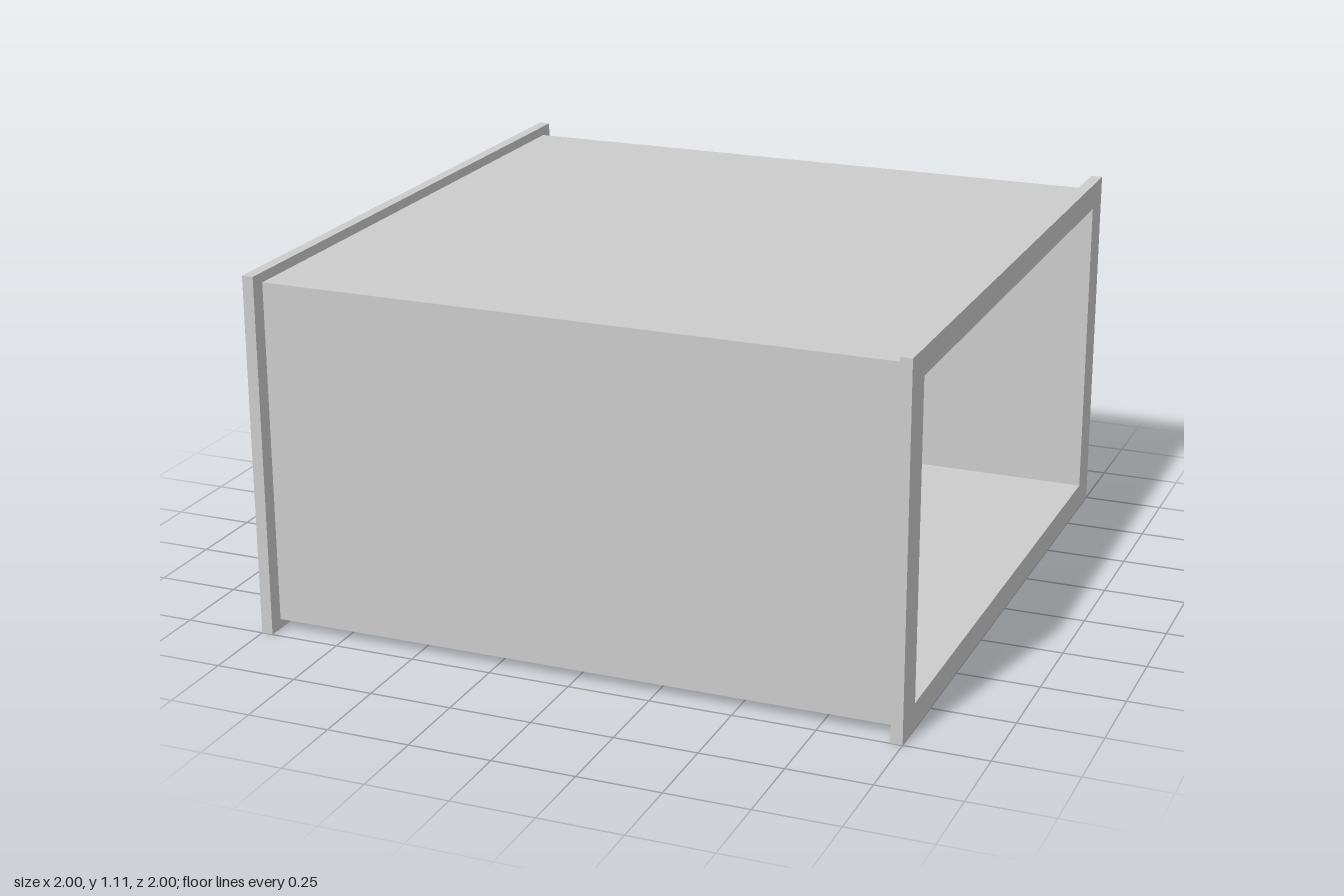
import * as THREE from 'three';

const HEIGHT = 1.11;            // overall flange height
const OPEN_W = 1.79, OPEN_H = 0.95; // clear opening through the duct
const FLANGE = 0.035;           // flange thickness

const material = new THREE.MeshStandardMaterial({ color: 0xcccccc, flatShading: true });

function trace(path, w, h) {
  path.moveTo(-w / 2, -h / 2);
  path.lineTo(w / 2, -h / 2);
  path.lineTo(w / 2, h / 2);
  path.lineTo(-w / 2, h / 2);
  path.closePath();
  return path;
}

// Rectangular tube running along x, centred on the given x
function tube(name, w, h, length, x) {
  const shape = trace(new THREE.Shape(), w, h);
  shape.holes.push(trace(new THREE.Path(), OPEN_W, OPEN_H));
  const geometry = new THREE.ExtrudeGeometry(shape, { depth: length, bevelEnabled: false });
  geometry.translate(0, 0, -length / 2).rotateY(Math.PI / 2);
  const mesh = new THREE.Mesh(geometry, material);
  mesh.name = name;
  mesh.position.set(x, HEIGHT / 2, 0);
  return mesh;
}

export function createModel() {
  const group = new THREE.Group();
  group.name = 'flangedDuct';

  // Open-ended duct body
  group.add(tube('ductBody', 1.9, 1.05, 2 - 2 * FLANGE, 0));

  // Connecting flange at each end
  for (const [name, side] of [['leftFlange', 1], ['rightFlange', -1]]) {
    group.add(tube(name, 2, HEIGHT, FLANGE, side * (1 - FLANGE / 2)));
  }
  return group;
}
